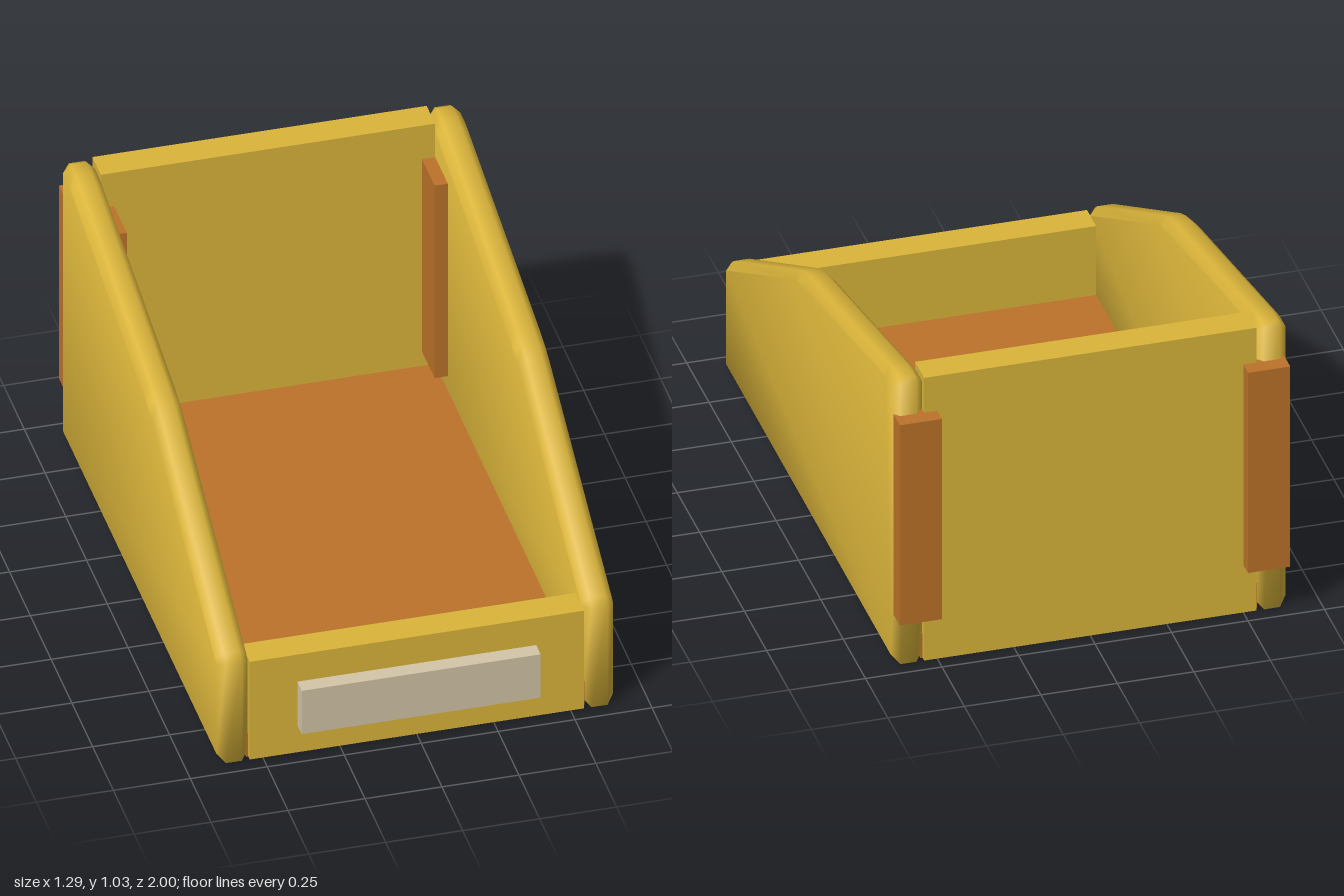
import * as THREE from 'three';
import { mergeVertices } from 'three/addons/utils/BufferGeometryUtils.js';

// Smooth normals in which every face around a corner counts equally
function softenNormals(geometry) {
  const { position } = geometry.attributes;
  const index = geometry.index;
  const sums = Array.from({ length: position.count }, () => new THREE.Vector3());
  const triangle = new THREE.Triangle();
  const normal = new THREE.Vector3();
  for (let i = 0; i < index.count; i += 3) {
    const corners = [0, 1, 2].map((k) => index.getX(i + k));
    triangle.setFromAttributeAndIndices(position, ...corners);
    triangle.getNormal(normal);
    corners.forEach((c) => sums[c].add(normal));
  }
  const normals = sums.flatMap((v) => v.normalize().toArray());
  geometry.setAttribute('normal', new THREE.Float32BufferAttribute(normals, 3));
}

export function createModel() {
  const yellow = new THREE.MeshStandardMaterial({ color: 0xdab43a });
  yellow.name = 'yellow';
  const brown = new THREE.MeshStandardMaterial({ color: 0xbb7229 });
  brown.name = 'brown';
  const beige = new THREE.MeshStandardMaterial({ color: 0xd2c5a7 });
  beige.name = 'beige';

  const group = new THREE.Group();
  group.name = 'storageBin';

  // Box given by its low and high corners
  function box(name, material, [x0, y0, z0], [x1, y1, z1]) {
    const mesh = new THREE.Mesh(new THREE.BoxGeometry(x1 - x0, y1 - y0, z1 - z0), material);
    mesh.position.set((x0 + x1) / 2, (y0 + y1) / 2, (z0 + z1) / 2);
    mesh.name = name;
    group.add(mesh);
  }

  box('backPanel', yellow, [-0.543, 0, -0.947], [0.543, 1.035, -0.845]);
  box('frontPanel', yellow, [-0.543, 0, 0.845], [0.543, 0.372, 0.947]);
  box('bottomPlate', yellow, [-0.543, 0, -0.845], [0.543, 0.05, 0.845]);
  box('floorEdge', brown, [-0.55, 0.0001, -0.93], [0.55, 0.09, 0.93]);
  box('floor', brown, [-0.546, 0.06, -0.85], [0.546, 0.12, 0.85]);
  box('labelPlate', beige, [-0.388, 0.104, 0.94], [0.388, 0.269, 1]);

  // Sloping side panel with chamfered edges, profile in (z, y)
  const bevel = 0.025;
  const profile = new THREE.Shape([
    [-0.947, 0], [0.947, 0], [0.947, 0.375], [0.92, 0.397],
    [0.16, 0.802], [0.11, 0.823], [0.05, 0.84],
    [-0.82, 1.028], [-0.86, 1.035], [-0.925, 1.035], [-0.947, 1.025],
  ].map(([z, y]) => new THREE.Vector2(z, y)));
  let side = new THREE.ExtrudeGeometry(profile, {
    depth: 0.052, bevelEnabled: true, bevelThickness: bevel,
    bevelSize: bevel, bevelOffset: -bevel, bevelSegments: 1,
  });
  side.translate(0, 0, -0.026);
  side.rotateY(-Math.PI / 2);
  side.deleteAttribute('uv');
  side.deleteAttribute('normal');
  side = mergeVertices(side, 1e-4);
  softenNormals(side);

  for (const [label, s] of [['left', 1], ['right', -1]]) {
    const panel = new THREE.Mesh(side, yellow);
    panel.name = label + 'SidePanel';
    panel.position.x = s * 0.594;
    group.add(panel);

    // Upright corner rail, passing through the panels
    const xs = [s * 0.5, s * 0.638].sort((a, b) => a - b);
    box(label + 'CornerRail', brown, [xs[0], 0.175, -1], [xs[1], 0.908, -0.692]);
  }
  return group;
}
